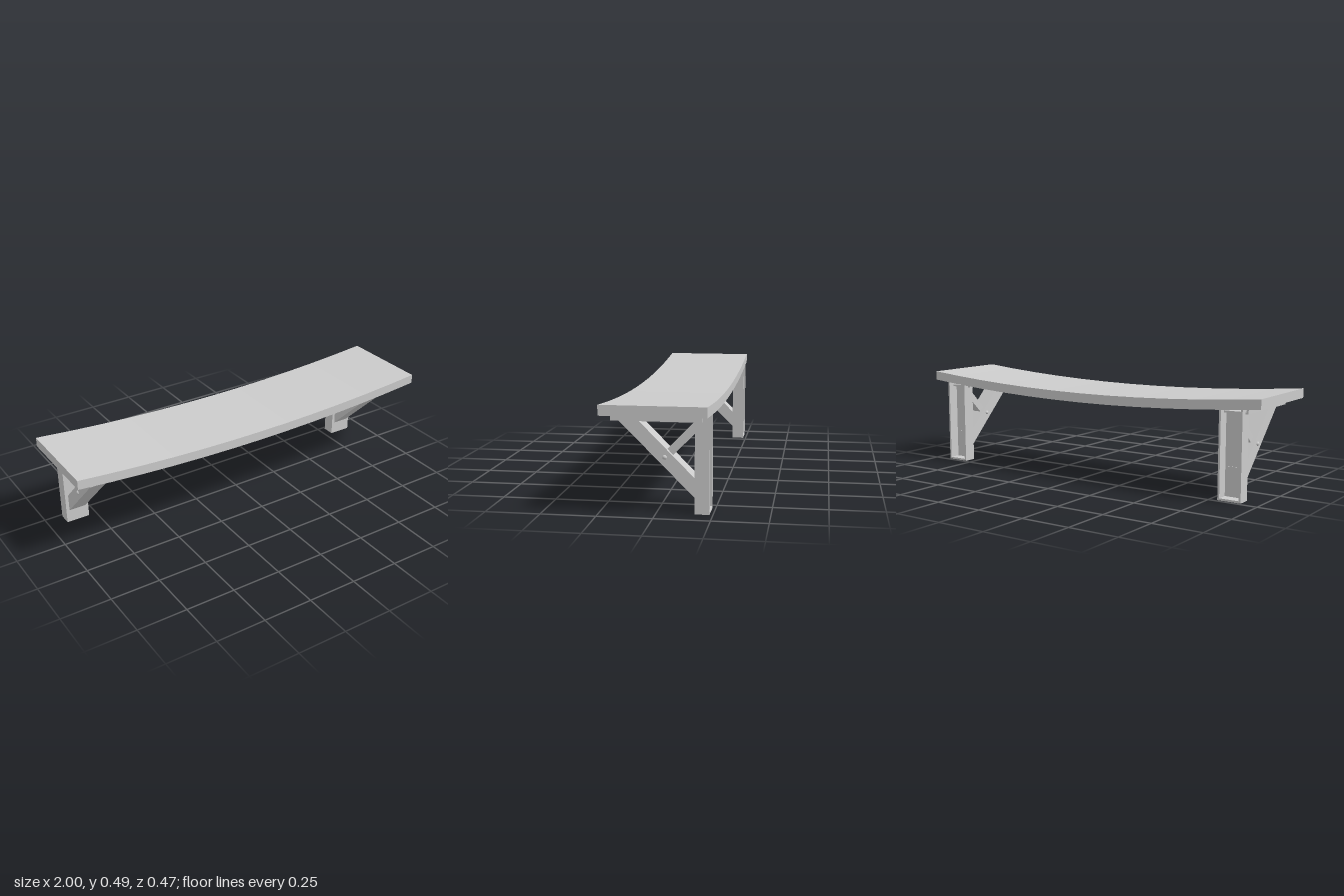
import * as THREE from 'three';

const grey = new THREE.MeshStandardMaterial({ color: 0xcccccc, flatShading: true });

function add(parent, name, geometry, x = 0, y = 0, z = 0) {
  const mesh = new THREE.Mesh(geometry, grey);
  mesh.name = name;
  mesh.position.set(x, y, z);
  parent.add(mesh);
  return mesh;
}

const box = (w, h, d) => new THREE.BoxGeometry(w, h, d);

// Extrudes a [z, y] side outline across x, centred on x = 0
function sideProfile(points, width) {
  const shape = new THREE.Shape(points.map(([z, y]) => new THREE.Vector2(-z, y)));
  const geometry = new THREE.ExtrudeGeometry(shape, { depth: width, bevelEnabled: false });
  geometry.translate(0, 0, -width / 2);
  return geometry.rotateY(Math.PI / 2);
}

// Sagging board: a box bent along a shallow parabola
function createBoard() {
  const geometry = box(2, 0.047, 0.47, 12, 1, 1);
  const bent = new THREE.BoxGeometry(2, 0.047, 0.47, 12, 1, 1);
  geometry.dispose();
  const p = bent.attributes.position;
  for (let i = 0; i < p.count; i++) {
    p.setY(i, p.getY(i) + 0.4175 + 0.049 * p.getX(i) ** 2);
  }
  bent.computeVertexNormals();
  return bent;
}

function createBracket() {
  const bracket = new THREE.Group();
  const wall = 0.01;

  // Upright: a channel open to the back, with a closed foot
  const post = new THREE.Group();
  post.name = 'post';
  add(post, 'postFront', box(0.12, 0.41, wall), 0, 0.205, -0.175);
  add(post, 'postFoot', box(0.12, wall, 0.065), 0, wall / 2, -0.2025);
  for (const s of [-1, 1]) {
    add(post, 'postSide', box(wall, 0.437, 0.065), s * 0.055, 0.2185, -0.2025);
  }
  bracket.add(post);

  // Arm under the board: a shallow channel open upward
  const arm = new THREE.Group();
  arm.name = 'arm';
  add(arm, 'armBase', box(0.15, wall, 0.403), 0, 0.415, -0.0035);
  for (const s of [-1, 1]) {
    add(arm, 'armSide', box(wall, 0.027, 0.403), s * 0.07, 0.4235, -0.0035);
  }
  bracket.add(arm);

  // Main diagonal, its lower end poking just through the post
  add(bracket, 'strut', sideProfile(
    [[0.175, 0.412], [0.085, 0.412], [-0.17, 0.155], [-0.183, 0.155], [-0.183, 0.067], [-0.17, 0.067]], 0.086));

  // Short counter brace from the strut to the top of the post
  add(bracket, 'brace', sideProfile(
    [[-0.04, 0.275], [-0.06, 0.245], [-0.17, 0.355], [-0.183, 0.355], [-0.183, 0.408], [-0.17, 0.408]], 0.05));

  // Pin through the crossing, with domed ends
  const pin = new THREE.CapsuleGeometry(0.011, 0.08, 4, 16).rotateZ(Math.PI / 2);
  add(bracket, 'pin', pin, 0, 0.247, -0.035);
  return bracket;
}

export function createModel() {
  const model = new THREE.Group();
  model.name = 'shelf';
  add(model, 'board', createBoard());
  for (const [name, s] of [['leftBracket', 1], ['rightBracket', -1]]) {
    const bracket = createBracket();
    bracket.name = name;
    bracket.position.x = s * 0.85;
    model.add(bracket);
  }
  return model;
}
